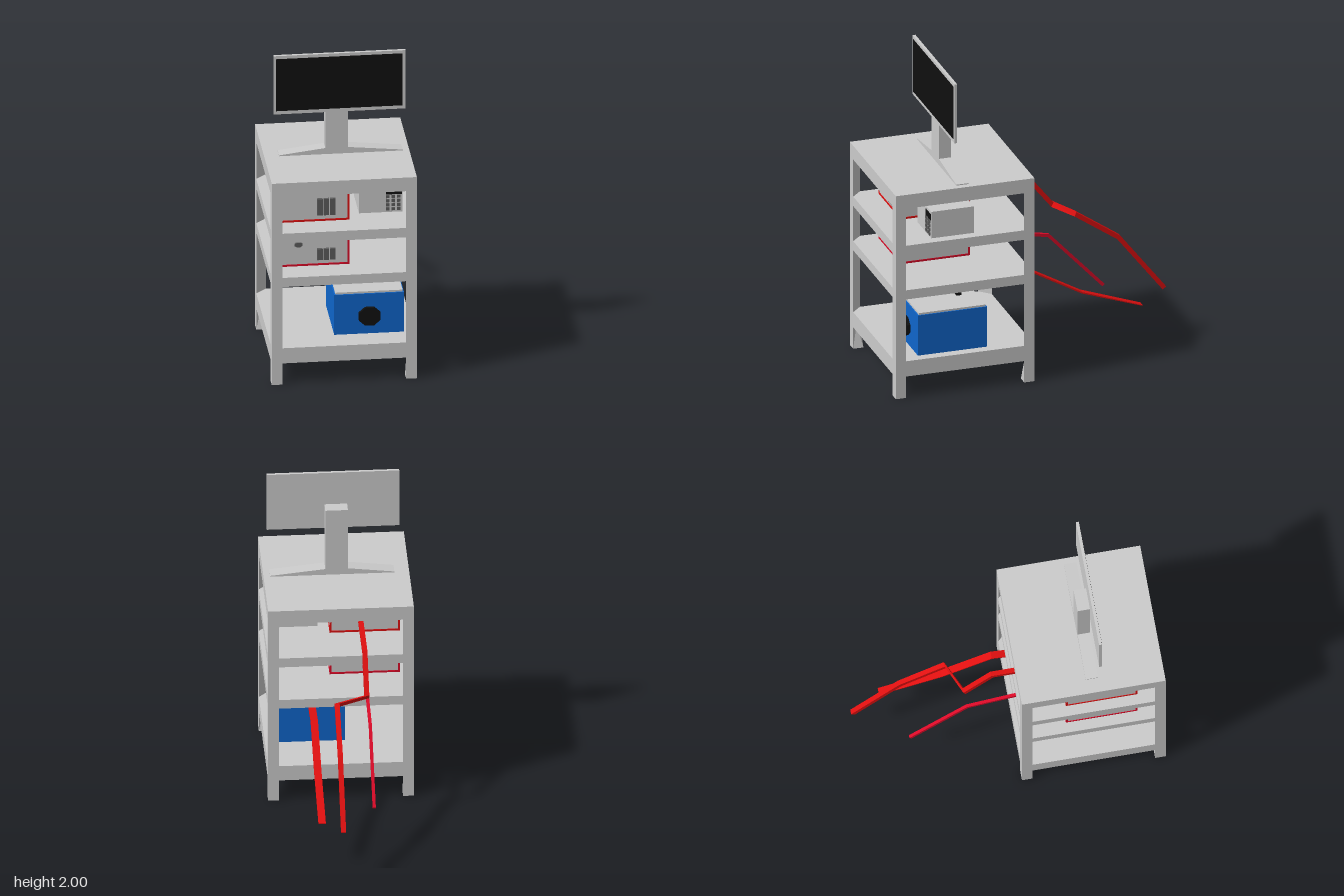
import * as THREE from 'three';

const mat = (color) => new THREE.MeshStandardMaterial({ color, flatShading: true });
const grey = mat(0xcccccc), red = mat(0xe01010), crimson = mat(0xdc0a28);
const blue = mat(0x0f66cc), black = mat(0x101010), dark = mat(0x5c5c5c);

function add(parent, name, geometry, material) {
  const mesh = new THREE.Mesh(geometry, material);
  mesh.name = name;
  parent.add(mesh);
  return mesh;
}

// Box given by its limits on each axis
function box(parent, name, material, [x0, x1], [y0, y1], [z0, z1]) {
  const g = new THREE.BoxGeometry(x1 - x0, y1 - y0, z1 - z0);
  g.translate((x0 + x1) / 2, (y0 + y1) / 2, (z0 + z1) / 2);
  return add(parent, name, g, material);
}

// Solid through four-cornered rings, counter-clockwise about the direction of travel
function loft(rings) {
  const index = [0, 2, 1, 0, 3, 2];
  for (let i = 0; i < rings.length - 1; i++) {
    for (let j = 0; j < 4; j++) {
      const a = i * 4 + j, b = i * 4 + (j + 1) % 4;
      index.push(a, b, b + 4, a, b + 4, a + 4);
    }
  }
  const e = (rings.length - 1) * 4;
  index.push(e, e + 1, e + 2, e, e + 2, e + 3);
  const g = new THREE.BufferGeometry();
  g.setAttribute('position', new THREE.Float32BufferAttribute(rings.flat(2), 3));
  g.setIndex(index);
  const flat = g.toNonIndexed();
  flat.computeVertexNormals();
  return flat;
}

// Angular hose running backwards, mitred at its bends
function hose(path, width, heights) {
  const normal = (a, b) => new THREE.Vector2(a[2] - b[2], b[1] - a[1]).normalize(); // (y, z)
  const last = path.length - 1;
  return loft(path.map((p, i) => {
    const n0 = normal(path[Math.max(i - 1, 0)], path[Math.max(i, 1)]);
    const n1 = normal(path[Math.min(i, last - 1)], path[Math.min(i + 1, last)]);
    const m = n0.clone().add(n1).normalize();
    m.multiplyScalar(heights[i] / 2 / m.dot(n0));
    return [[1, 1], [-1, 1], [-1, -1], [1, -1]].map(([u, v]) =>
      [p[0] + v * width / 2, p[1] + u * m.x, p[2] + u * m.y]);
  }));
}

// Cabinet with coloured edge strips, knob and three vents
function instrument(parent, name, y0, y1, edge, ventY, knobY) {
  const g = new THREE.Group();
  g.name = name;
  parent.add(g);
  const X = [-0.375, 0.05], Y = [y0, y1], Z = [0.32, 0.76], t = 0.012, i = 0.003;
  box(g, 'cabinet', grey, [X[0] + i, X[1] - i], [y0 + i, y1 - i], [Z[0] + i, Z[1] - i]);
  const strip = (v, s) => s ? [v[1] - t, v[1]] : [v[0], v[0] + t];
  for (const a of [0, 1]) {
    for (const b of [0, 1]) {
      const topFront = a && b;
      box(g, 'edgeStrip', edge, topFront ? [-0.19, X[1]] : X, strip(Y, a), strip(Z, b));
      box(g, 'edgeStrip', edge, strip(X, a), Y, strip(Z, b));
      box(g, 'edgeStrip', edge, strip(X, a), strip(Y, b), Z);
    }
  }
  for (let k = 0; k < 3; k++) {
    const x = -0.147 + k * 0.039;
    box(g, 'vent', dark, [x, x + 0.033], ventY, [0.75, 0.775]);
  }
  const knob = new THREE.CylinderGeometry(0.026, 0.026, 0.02, 8, 1, false, Math.PI / 8);
  knob.rotateX(Math.PI / 2).scale(1, (knobY[1] - knobY[0]) / 0.052, 1);
  add(g, 'knob', knob, dark).position.set(-0.26, (knobY[0] + knobY[1]) / 2, 0.76);
}

export function createModel() {
  const model = new THREE.Group();
  model.name = 'equipmentCart';

  // Rack: shelves and triangular posts ending in square feet
  const rack = new THREE.Group();
  rack.name = 'rack';
  model.add(rack);
  const h = 0.44, w = 0.065;
  for (const [name, y0, y1] of [['topShelf', 1.24, 1.33], ['upperShelf', 0.935, 0.997],
    ['middleShelf', 0.645, 0.705], ['bottomShelf', 0.14, 0.24]]) {
    box(rack, name, grey, [-h, h], [y0, y1], [0.04, 0.92]);
  }
  const postRing = (y, inner) =>
    [[-h, y, h], [-h + w, y, h], [-h + inner, y, h - inner], [-h, y, h - w]];
  const post = loft([postRing(0, w), postRing(0.14, w / 2), postRing(1.26, w / 2)]);
  for (let k = 0; k < 4; k++) {
    const m = add(rack, 'post', post, grey);
    m.position.z = 0.48;
    m.rotation.y = k * Math.PI / 2;
  }

  // Monitor
  const monitor = new THREE.Group();
  monitor.name = 'monitor';
  model.add(monitor);
  box(monitor, 'screenFrame', grey, [-0.385, 0.415], [1.615, 2], [0.522, 0.54]);
  box(monitor, 'display', black, [-0.37, 0.397], [1.637, 1.98], [0.53, 0.542]);
  box(monitor, 'standColumn', grey, [-0.07, 0.067], [1.33, 1.78], [0.446, 0.523]);
  const foot = new THREE.Shape([[-0.35, 1.328], [0.4, 1.328], [0.4, 1.336], [0.067, 1.37],
    [-0.07, 1.37], [-0.35, 1.336]].map(([x, y]) => new THREE.Vector2(x, y)));
  const footGeo = new THREE.ExtrudeGeometry(foot, { depth: 0.077, bevelEnabled: false });
  add(monitor, 'standFoot', footGeo, grey).position.z = 0.446;

  // Instruments on the two upper shelves
  instrument(model, 'upperInstrument', 0.997, 1.24, red, [1.04, 1.147], [1.175, 1.218]);
  instrument(model, 'lowerInstrument', 0.705, 0.88, crimson, [0.745, 0.817], [0.833, 0.865]);

  // Keypad unit and its connector
  const keypad = new THREE.Group();
  keypad.name = 'keypadUnit';
  model.add(keypad);
  box(keypad, 'keypadBody', grey, [0.117, 0.38], [0.997, 1.17], [0.405, 0.675]);
  box(keypad, 'keypadDisplay', black, [0.28, 0.378], [1.115, 1.152], [0.66, 0.68]);
  for (let r = 0; r < 4; r++) {
    for (let c = 0; c < 3; c++) {
      const x = 0.28 + c * 0.033, y = 1.01 + r * 0.027;
      box(keypad, 'key', dark, [x, x + 0.022], [y, y + 0.019], [0.66, 0.682]);
    }
  }
  box(keypad, 'connector', grey, [0.04, 0.125], [1.083, 1.105], [0.53, 0.552]);

  // Blue unit on the bottom shelf
  const pump = new THREE.Group();
  pump.name = 'blueUnit';
  model.add(pump);
  box(pump, 'blueBody', blue, [-0.043, 0.38], [0.24, 0.502], [0.32, 0.76]);
  box(pump, 'lid', grey, [-0.035, 0.373], [0.5, 0.514], [0.328, 0.752]);
  const dial = new THREE.CylinderGeometry(0.068, 0.068, 0.03, 8, 1, false, Math.PI / 8);
  dial.rotateX(Math.PI / 2).scale(1.04, 0.92, 1);
  add(pump, 'dial', dial, black).position.set(0.17, 0.358, 0.766);
  box(pump, 'outlet', black, [0.145, 0.19], [0.51, 0.547], [0.42, 0.452]);

  // Hoses trailing behind
  add(model, 'upperHose', hose([[-0.135, 1.1, 0.33], [-0.135, 1.1, -0.09], [-0.135, 0.888, -0.26],
    [0.05, 0.888, -0.345], [0.05, 0.7, -0.62], [0.05, 0.33, -0.91]], 0.03, Array(6).fill(0.028)), red);
  add(model, 'middleHose', hose([[-0.157, 0.785, 0.33], [-0.157, 0.676, -0.245],
    [-0.157, 0.305, -0.593]], 0.019, Array(3).fill(0.019)), crimson);
  add(model, 'lowerHose', hose([[0.167, 0.545, 0.43], [0.167, 0.597, -0.04], [0.167, 0.425, -0.345],
    [0.167, 0.29, -0.73]], 0.045, [0.004, 0.009, 0.009, 0.005]), red);

  return model;
}
